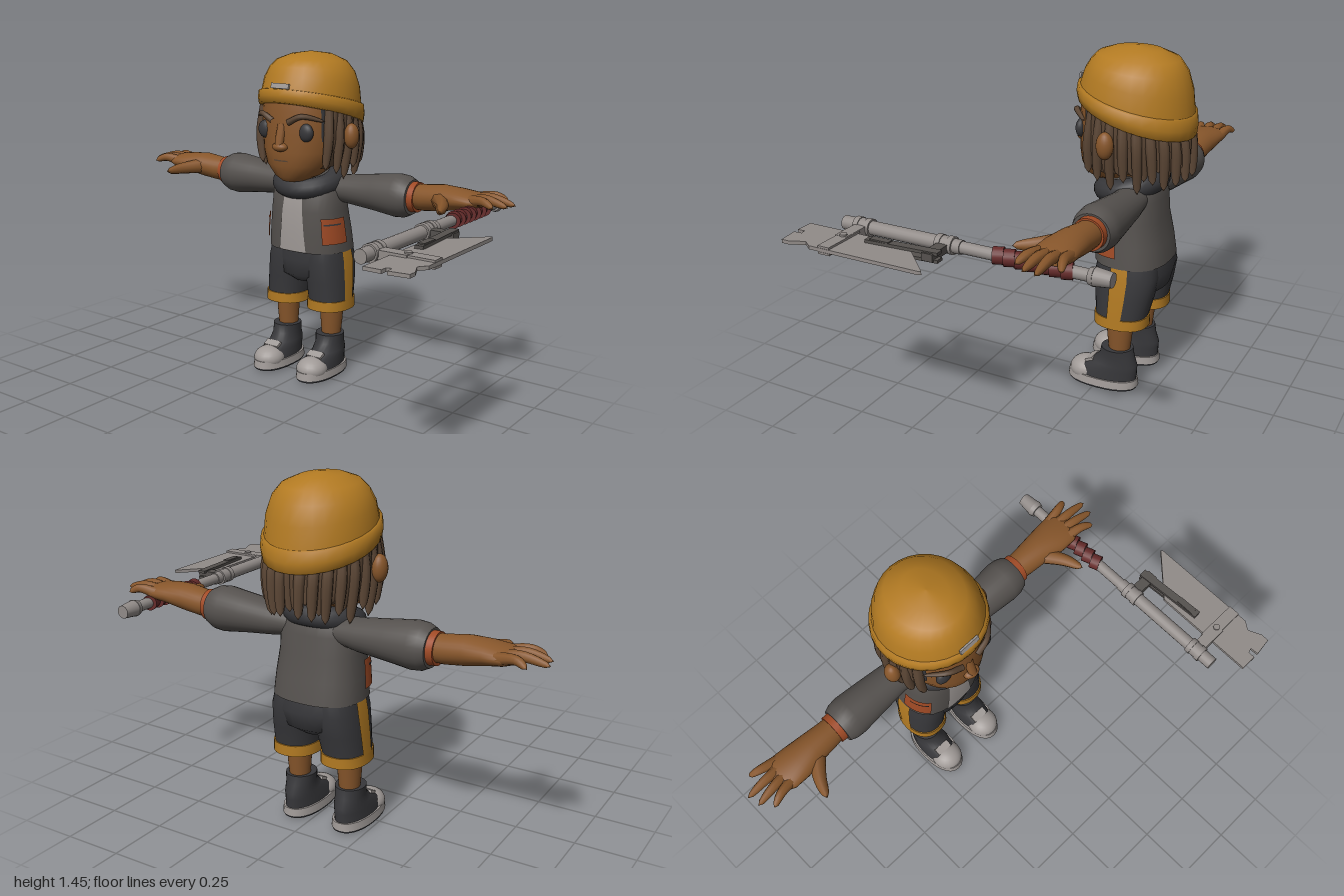
import * as THREE from 'three';

const M = {};
for (const [name, color] of Object.entries({
  gold: 0xb27a22, skin: 0x87562b, jacket: 0x55514e, charcoal: 0x37373a, orange: 0xa04a25,
  lightGrey: 0xa09a97, hair: 0x5a4534, wrapRed: 0x662b2a, metal: 0x918b88,
})) {
  M[name] = new THREE.MeshStandardMaterial({ color });
  M[name].name = name;
}

// Skin over elliptical rings [y, cx, cz, rx, rz, tilt]; a0/a1 give [bottom, top] angles of a partial patch.
function loft(rings, { a0 = null, a1 = null, n = 28, p = 2, grow = 0, cap = true } = {}) {
  const pos = [], idx = [];
  const open = a0 !== null;
  const strip = (rows) => {
    const base = pos.length / 3, w = open ? n + 1 : n;
    rows.forEach(([y, cx, cz, rx, rz, tilt = 0, flat = 1], i) => {
      const t = i / (rows.length - 1);
      const s = open ? a0[0] + (a0[1] - a0[0]) * t : 0;
      const e = open ? a1[0] + (a1[1] - a1[0]) * t : Math.PI * 2;
      for (let j = 0; j < w; j++) {
        const a = s + (e - s) * j / n, sn = Math.sin(a), cs = Math.cos(a);
        const dz = flat * (rz + grow) * Math.sign(cs) * Math.abs(cs) ** (2 / p);
        pos.push(cx + flat * (rx + grow) * Math.sign(sn) * Math.abs(sn) ** (2 / p), y + tilt * dz, cz + dz);
      }
    });
    for (let i = 0; i < rows.length - 1; i++) for (let j = 0; j < n; j++) {
      const k = open ? j + 1 : (j + 1) % n, r = base + i * w, u = r + w;
      idx.push(r + j, r + k, u + k, r + j, u + k, u + j);
    }
  };
  strip(rings);
  if (!open && cap) {
    const flat = ([y, cx, cz, rx, rz, t = 0]) => [y, cx, cz, rx, rz, t, 0];
    const lo = rings[0], hi = rings[rings.length - 1];
    strip([flat(lo), lo]);
    strip([hi, flat(hi)]);
  }
  const g = new THREE.BufferGeometry();
  g.setAttribute('position', new THREE.Float32BufferAttribute(pos, 3));
  g.setIndex(idx);
  g.computeVertexNormals();
  return g;
}

// Portion of a loft between two heights, for painted panels.
function patch(rings, lo, hi, a0, a1, opt = {}) {
  const at = (y) => {
    let i = 0;
    while (i < rings.length - 2 && rings[i + 1][0] < y) i++;
    const t = (y - rings[i][0]) / (rings[i + 1][0] - rings[i][0]);
    return rings[i].map((v, k) => v + (rings[i + 1][k] - v) * t);
  };
  const rows = [at(lo), ...rings.filter((r) => r[0] > lo && r[0] < hi), at(hi)];
  return loft(rows, { n: 14, a0: [].concat(a0, a0).slice(0, 2), a1: [].concat(a1, a1).slice(0, 2), ...opt });
}

// Loft running along +x: rows are [x, cy, cz, ry, rz].
const loftX = (rows, opt) => loft(rows.map(([x, cy, cz, ry, rz]) => [x, -cy, cz, ry, rz]), opt).rotateZ(-Math.PI / 2);

// Tapered tube with a rounded tip.
function strand(points, r, taper = 0.3, sides = 8) {
  const path = new THREE.CatmullRomCurve3(points.map((q) => new THREE.Vector3(...q)));
  const seg = 10, g = new THREE.TubeGeometry(path, seg, r, sides), P = g.attributes.position, v = new THREE.Vector3();
  for (let i = 0; i <= seg; i++) {
    const t = i / seg, c = path.getPointAt(t), f = (1 - taper * t) * Math.sqrt(1 - t ** 8);
    for (let j = 0; j <= sides; j++) {
      const k = i * (sides + 1) + j;
      v.fromBufferAttribute(P, k).sub(c).multiplyScalar(f).add(c);
      P.setXYZ(k, v.x, v.y, v.z);
    }
  }
  return g;
}

const ball = (x, y, z, sx, sy, sz) => new THREE.SphereGeometry(1, 20, 14).scale(sx, sy, sz).translate(x, y, z);
const box = (x, y, z, w, h, d) => new THREE.BoxGeometry(w, h, d).translate(x, y, z);

function mirrored(g) {
  const m = g.clone().scale(-1, 1, 1), a = m.index.array;
  for (let i = 0; i < a.length; i += 3) [a[i], a[i + 1]] = [a[i + 1], a[i]];
  return m;
}

export function createModel() {
  const model = new THREE.Group(), body = new THREE.Group(), weapon = new THREE.Group();
  body.name = 'character';
  weapon.name = 'axe';
  body.position.x = -0.045;
  model.add(body, weapon);
  const add = (name, g, mat, parent = body) => {
    const m = new THREE.Mesh(g, mat);
    m.name = name;
    parent.add(m);
  };
  const pair = (name, g, mat) => {
    add(name + 'Left', g, mat);
    add(name + 'Right', mirrored(g), mat);
  };

  // Jacket, shirt panel, pockets and collar
  const torso = [[0.565, 0, -0.358, 0.19, 0.153], [0.65, 0, -0.35, 0.183, 0.148], [0.75, 0, -0.34, 0.172, 0.136],
    [0.83, 0, -0.342, 0.168, 0.128], [0.89, 0, -0.348, 0.14, 0.105], [0.925, 0, -0.35, 0.09, 0.08]];
  add('jacket', loft(torso, { p: 2.5 }), M.jacket);
  add('shirt', patch(torso, 0.57, 0.85, [-0.29, -0.16], [0.29, 0.16], { p: 2.5, grow: 0.004 }), M.lightGrey);
  pair('pocket', patch(torso, 0.61, 0.725, 0.75, 1.55, { p: 2.5, grow: 0.009 }), M.orange);
  pair('pocketSlit', patch(torso, 0.695, 0.702, 0.82, 1.4, { p: 2.5, grow: 0.012 }), M.charcoal);
  add('collar', new THREE.TorusGeometry(0.112, 0.046, 12, 28).rotateX(Math.PI / 2 + 0.25).scale(1.06, 1, 1)
    .translate(0, 0.875, -0.33), M.charcoal);
  add('neck', new THREE.CylinderGeometry(0.08, 0.09, 0.14, 20).translate(0, 0.9, -0.33), M.skin);

  // Sleeves, cuffs, arms and hands
  pair('sleeve', loftX([[0.08, 0.845, -0.37, 0.05, 0.07], [0.2, 0.843, -0.382, 0.066, 0.073], [0.33, 0.845, -0.383, 0.081, 0.084],
    [0.43, 0.845, -0.383, 0.094, 0.092], [0.47, 0.845, -0.383, 0.09, 0.089], [0.5, 0.845, -0.383, 0.075, 0.078]]), M.jacket);
  pair('cuff', loftX([[0.49, 0.847, -0.385, 0.066, 0.066], [0.528, 0.848, -0.385, 0.064, 0.064]]), M.orange);
  pair('arm', loftX([[0.51, 0.85, -0.385, 0.053, 0.055], [0.56, 0.852, -0.383, 0.056, 0.06], [0.64, 0.862, -0.38, 0.056, 0.068],
    [0.72, 0.868, -0.376, 0.045, 0.079], [0.79, 0.87, -0.378, 0.034, 0.082], [0.83, 0.87, -0.38, 0.02, 0.066]]), M.skin);
  [[0.895, -0.465, -0.432], [0.955, -0.398, -0.402], [0.945, -0.345, -0.368], [0.905, -0.295, -0.334]].forEach(([x, z, z0], i) =>
    pair('finger' + (i + 1), strand([[0.77, 0.87, z0], [0.85, 0.884, (z + z0) / 2], [x, 0.865, z]], 0.026, 0.45), M.skin));
  pair('thumb', strand([[0.64, 0.86, -0.35], [0.7, 0.853, -0.26], [0.73, 0.845, -0.185]], 0.037, 0.5), M.skin);

  // Shorts with hem and side stripe
  add('shortsSeat', loft([[0.415, 0, -0.36, 0.06, 0.09], [0.45, 0, -0.362, 0.15, 0.135], [0.52, 0, -0.367, 0.184, 0.145],
    [0.585, 0, -0.36, 0.176, 0.135]], { p: 2.3 }), M.charcoal);
  const leg = [[0.3, 0.113, -0.35, 0.093, 0.11], [0.345, 0.113, -0.35, 0.091, 0.11], [0.43, 0.105, -0.357, 0.095, 0.124],
    [0.52, 0.098, -0.362, 0.094, 0.135], [0.58, 0.09, -0.36, 0.091, 0.125]];
  pair('shortsLeg', loft(leg, { p: 2.3 }), M.charcoal);
  pair('shortsHem', loft(leg.slice(0, 2), { p: 2.3, grow: 0.005 }), M.gold);
  pair('shortsStripe', patch(leg, 0.34, 0.575, 1.36, 1.8, { p: 2.3, grow: 0.005 }), M.gold);

  // Legs and shoes
  pair('leg', loft([[0.16, 0.12, -0.345, 0.042, 0.044], [0.23, 0.121, -0.345, 0.047, 0.052], [0.32, 0.121, -0.345, 0.052, 0.06]]), M.skin);
  pair('shoeTread', loft([[0, 0.12, -0.272, 0.076, 0.152], [0.01, 0.12, -0.272, 0.079, 0.156]], { p: 2.3 }), M.charcoal);
  pair('shoeSole', loft([[0.01, 0.12, -0.272, 0.08, 0.158], [0.042, 0.12, -0.273, 0.076, 0.154]], { p: 2.3 }), M.lightGrey);
  pair('shoeUpper', loft([[0.04, 0.12, -0.278, 0.07, 0.145], [0.08, 0.12, -0.292, 0.067, 0.133], [0.105, 0.12, -0.325, 0.062, 0.1],
    [0.14, 0.12, -0.335, 0.059, 0.076], [0.18, 0.12, -0.335, 0.063, 0.068]]), M.charcoal);
  pair('toeCap', ball(0.12, 0.045, -0.195, 0.07, 0.053, 0.073), M.lightGrey);
  pair('laces', new THREE.BoxGeometry(0.075, 0.014, 0.035).rotateX(0.45).translate(0.12, 0.1, -0.22), M.lightGrey);

  // Head and face
  const head = [[0.888, 0, -0.23, 0.05, 0.07], [0.91, 0, -0.25, 0.095, 0.112], [0.96, 0, -0.28, 0.15, 0.16], [1.02, 0, -0.3, 0.176, 0.185],
    [1.1, 0, -0.32, 0.19, 0.204], [1.2, 0, -0.33, 0.195, 0.213], [1.28, 0, -0.335, 0.185, 0.2]];
  add('head', loft(head, { p: 2.1 }), M.skin);
  add('backHair', patch(head, 0.95, 1.25, 1.2, Math.PI * 2 - 1.2, { p: 2.1, grow: 0.008 }), M.hair);
  pair('sideburn', patch(head, 1.07, 1.23, [0.98, 0.85], 1.22, { p: 2.1, grow: 0.004 }), M.charcoal);
  pair('ear', ball(0.233, 1.09, -0.31, 0.032, 0.055, 0.035), M.skin);
  pair('eye', ball(0.107, 1.11, -0.152, 0.036, 0.039, 0.022), M.charcoal);
  pair('eyebrow', strand([[0.04, 1.152, -0.115], [0.1, 1.18, -0.125], [0.175, 1.158, -0.195]], 0.014, 0.4), M.hair);
  add('noseBridge', strand([[0, 1.14, -0.13], [0, 1.09, -0.115], [0, 1.035, -0.1]], 0.02, 0), M.skin);
  add('noseTip', ball(0, 1.045, -0.112, 0.037, 0.02, 0.026), M.skin);
  add('mouth', patch(head, 0.982, 0.988, -0.2, 0.2, { p: 2.1, grow: 0.003 }), M.hair);

  // Locks hanging in two layers from under the hat
  for (let layer = 0; layer < 2; layer++) {
    for (let i = 0; i < 9; i++) {
      const a = 1.02 + (i + layer * 0.5) * 0.24, s = Math.sin(a), c = Math.cos(a), wob = Math.sin(i * 2.7 + layer);
      const at = (y, rx, rz) => [rx * s, y, -0.335 + rz * c];
      const tip = (layer ? 0.955 : 0.915) + 0.025 * wob + (i === 0 ? 0.03 : 0), k = layer * 0.018;
      pair('lock' + (layer * 9 + i + 1), strand([at(1.19 + 0.05 * c, 0.195, 0.2), at(1.08, 0.212 - k, 0.23 - k),
        at(tip, 0.195 - k + 0.008 * wob, 0.235 - k + 0.012 * wob)], 0.024, 0.2), M.hair);
    }
  }

  // Knitted hat
  add('hatBand', loft([[1.165, 0, -0.343, 0.21, 0.225, 0.29], [1.167, 0, -0.343, 0.225, 0.24, 0.29], [1.2, 0, -0.343, 0.23, 0.244, 0.26],
    [1.235, 0, -0.343, 0.226, 0.24, 0.23], [1.24, 0, -0.343, 0.21, 0.225, 0.23]]), M.gold);
  add('hatCrown', loft([[1.23, 0, -0.343, 0.215, 0.232, 0.23], [1.305, 0, -0.347, 0.205, 0.217, 0.17], [1.36, 0, -0.348, 0.182, 0.195, 0.1],
    [1.4, 0, -0.345, 0.145, 0.165, 0.05], [1.427, 0, -0.34, 0.08, 0.1, 0.02], [1.438, 0, -0.335, 0.002, 0.002]]), M.gold);
  add('hatBadge', new THREE.BoxGeometry(0.092, 0.022, 0.009).rotateX(-0.25).translate(0, 1.303, -0.113), M.lightGrey);

  // Axe handle along z with grip, pommel and clamps
  const X = 0.753, Y = 0.83;
  const rod = (name, z0, z1, r0, r1, mat, turn = 0) => add(name,
    new THREE.CylinderGeometry(r1, r0, z1 - z0, 18).rotateX(Math.PI / 2).rotateY(turn).translate(X, Y, (z0 + z1) / 2), mat, weapon);
  rod('handle', -0.56, 0, 0.023, 0.023, M.metal);
  rod('upperHandle', -0.02, 0.5, 0.027, 0.027, M.metal);
  rod('pommel', -0.61, -0.545, 0.027, 0.034, M.metal);
  rod('pommelCollar', -0.545, -0.525, 0.036, 0.03, M.metal);
  for (let i = 0; i < 7; i++) rod('gripWrap' + (i + 1), -0.19 - i * 0.045, -0.15 - i * 0.045, 0.032, 0.032, M.wrapRed, 0.35);
  for (const z of [0.047, 0.41]) for (const d of [-0.024, 0.024]) rod('clampRing', z + d - 0.011, z + d + 0.011, 0.034, 0.034, M.metal);
  for (const z of [0.047, 0.41]) rod('clampSleeve', z - 0.03, z + 0.03, 0.031, 0.031, M.metal);

  // Blade, brackets and locking bars on both faces
  const blade = new THREE.Shape([[0.83, 0.16], [0.995, -0.01], [1, 0], [1, 0.47], [0.975, 0.505], [1, 0.56], [1, 0.595], [0.922, 0.605],
    [0.92, 0.57], [0.9, 0.575], [0.9, 0.605], [0.83, 0.605]].map((q) => new THREE.Vector2(...q)));
  add('blade', new THREE.ExtrudeGeometry(blade, { depth: 0.014, bevelEnabled: false }).rotateX(Math.PI / 2)
    .translate(0, 0.834, 0), M.metal, weapon);
  add('nearBracket', box(0.825, 0.827, 0.047, 0.11, 0.03, 0.045), M.jacket, weapon);
  add('farBracketArm', box(0.83, 0.827, 0.41, 0.13, 0.034, 0.05), M.metal, weapon);
  for (const s of [-1, 1]) {
    add('bracketPlate', box(0.91, 0.827 + s * 0.012, 0.405, 0.18, 0.008, 0.05), M.metal, weapon);
    add('bracketBolt', new THREE.CylinderGeometry(0.014, 0.014, 0.01, 12).translate(0.885, 0.827 + s * 0.018, 0.405), M.metal, weapon);
    add('lockingBar', new THREE.BoxGeometry(0.034, 0.012, 0.3).rotateY(0.06).translate(0.862, 0.827 + s * 0.014, 0.16), M.jacket, weapon);
    add('lockingBarPad', box(0.868, 0.827 + s * 0.021, 0.25, 0.028, 0.008, 0.08), M.jacket, weapon);
  }
  return model;
}
